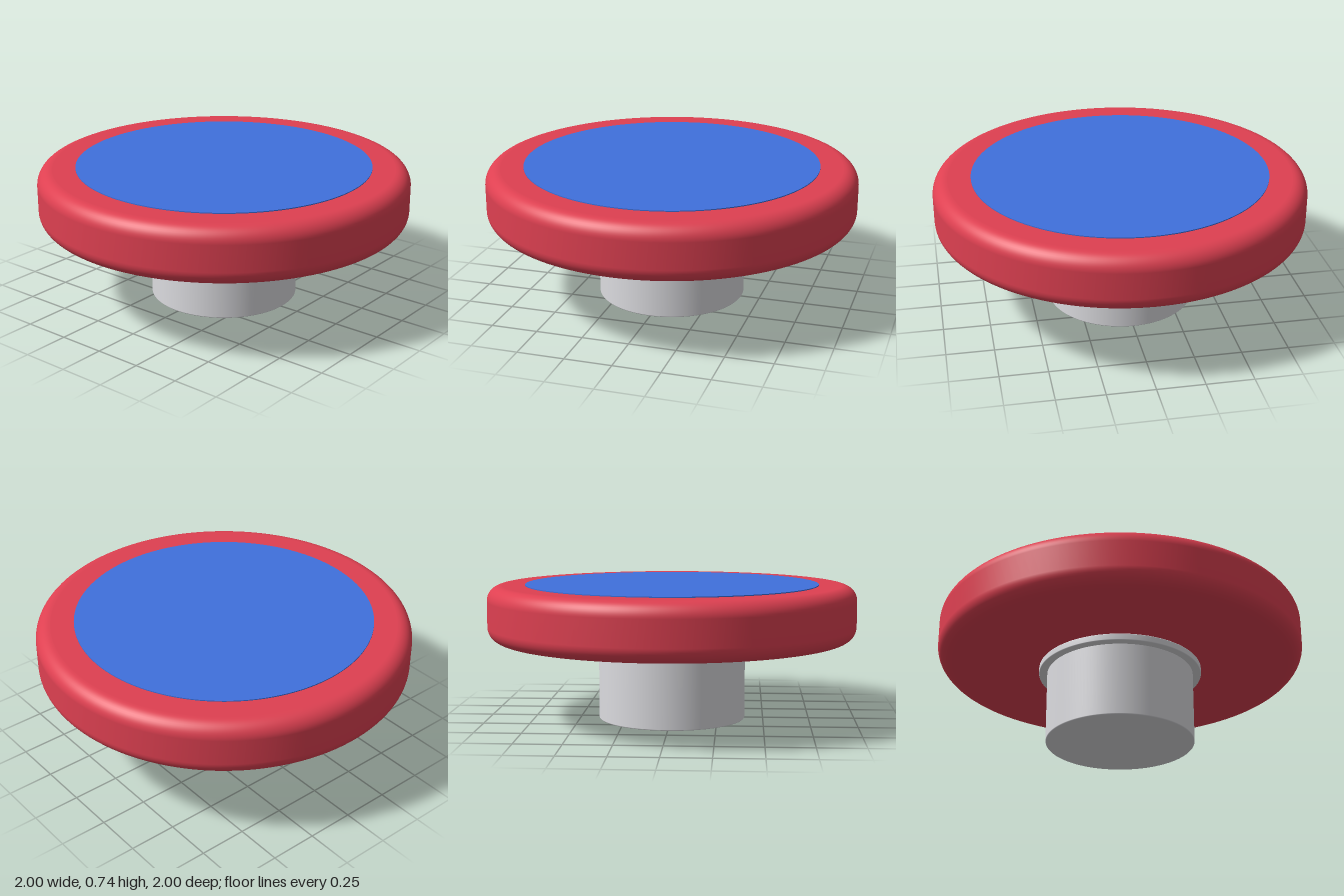
import * as THREE from 'three';

const SEGMENTS = 128;

function material(name, color) {
  const m = new THREE.MeshStandardMaterial({ color });
  m.name = name;
  return m;
}

// Solid of revolution: a cylinder from y0 to y1 with rounded rims
function roundedDisc(radius, y0, y1, fillet, steps = 12) {
  const points = [new THREE.Vector2(0, y0), new THREE.Vector2(radius - fillet - 0.002, y0)];
  const corner = (cy, start) => {
    for (let i = 0; i <= steps; i++) {
      const a = start + (i / steps) * Math.PI / 2;
      points.push(new THREE.Vector2(radius - fillet + fillet * Math.cos(a), cy + fillet * Math.sin(a)));
    }
  };
  corner(y0 + fillet, -Math.PI / 2);
  corner(y1 - fillet, 0);
  points.push(new THREE.Vector2(radius - fillet - 0.002, y1), new THREE.Vector2(0, y1));
  return new THREE.LatheGeometry(points, SEGMENTS);
}

function cylinder(radius, y0, y1) {
  return new THREE.CylinderGeometry(radius, radius, y1 - y0, SEGMENTS).translate(0, (y0 + y1) / 2, 0);
}

export function createModel() {
  const red = material('red', 0xde4051);
  const blue = material('blue', 0x4070dc);
  const grey = material('light grey', 0xdcdce0);

  const group = new THREE.Group();
  group.name = 'pushButton';
  const add = (name, geometry, mat) => {
    const mesh = new THREE.Mesh(geometry, mat);
    mesh.name = name;
    group.add(mesh);
  };

  // Round stem and the thin collar under the cap
  add('stem', roundedDisc(0.4, 0, 0.42, 0.006, 3), grey);
  add('collar', roundedDisc(0.445, 0.398, 0.436, 0.005, 3), grey);

  // Wide cap with soft edges, and the flat inlay on its top
  add('cap', roundedDisc(1, 0.436, 0.735, 0.08), red);
  add('topInlay', cylinder(0.795, 0.732, 0.74), blue);

  return group;
}
